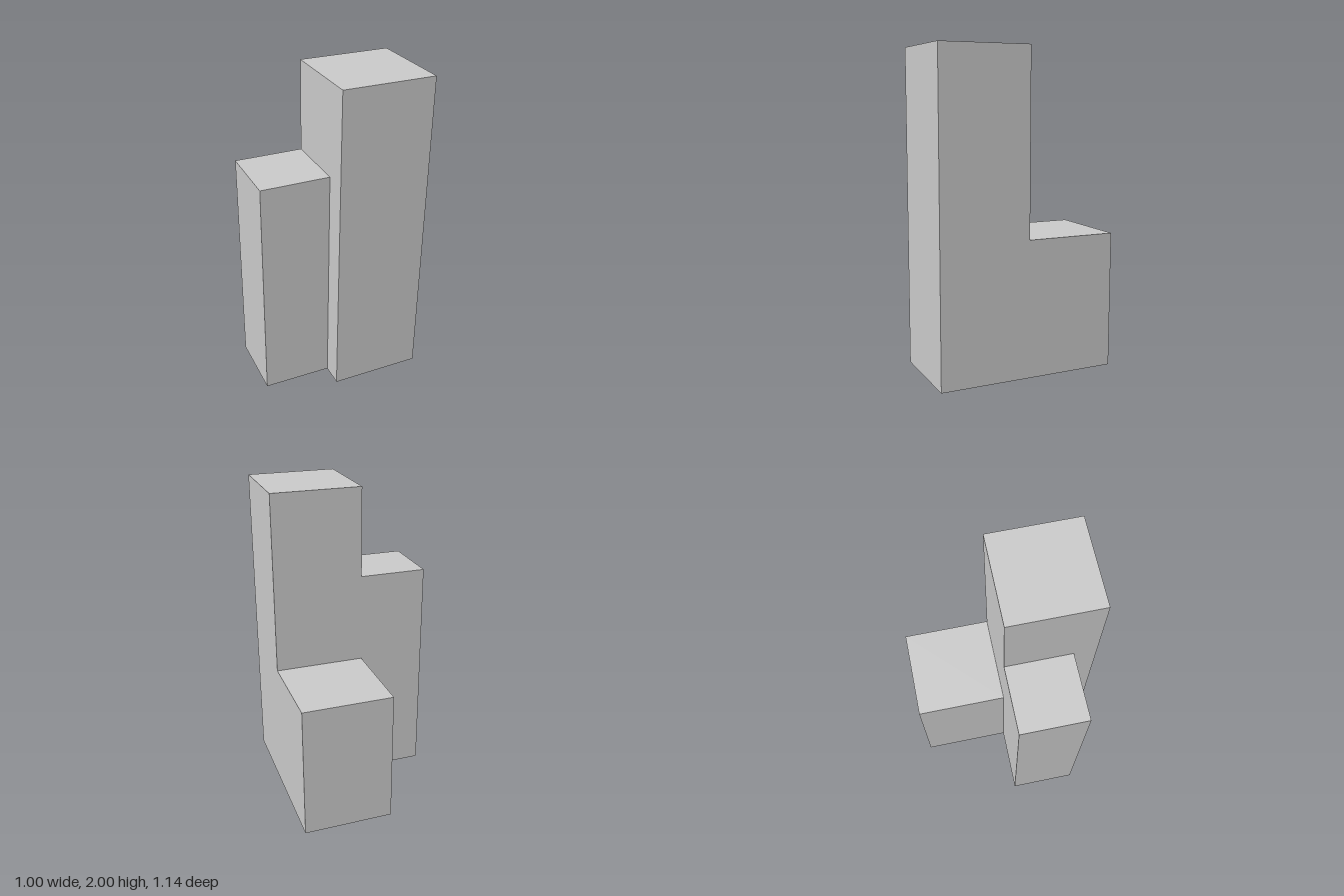
import * as THREE from 'three';

const U = 1 / 7; // design module: the tower is 14 units tall
const material = new THREE.MeshStandardMaterial({ color: 0xcccccc, flatShading: true });

// Box standing on the ground, given by its x and z ranges and height in units
function block(name, x0, x1, z0, z1, height) {
  const geometry = new THREE.BoxGeometry((x1 - x0) * U, height * U, (z1 - z0) * U);
  const mesh = new THREE.Mesh(geometry, material);
  mesh.name = name;
  mesh.position.set((x0 + x1) / 2 * U, height / 2 * U, (z0 + z1) / 2 * U);
  return mesh;
}

export function createModel() {
  const model = new THREE.Group();
  model.name = 'steppedBuilding';
  model.add(
    block('mainTower', -0.5, 3.5, 0, 4, 14),
    block('sideTower', -3.5, -0.5, 0, 3, 10),
    block('rearBlock', -0.5, 3.5, -4, 0, 6),
  );
  return model;
}
